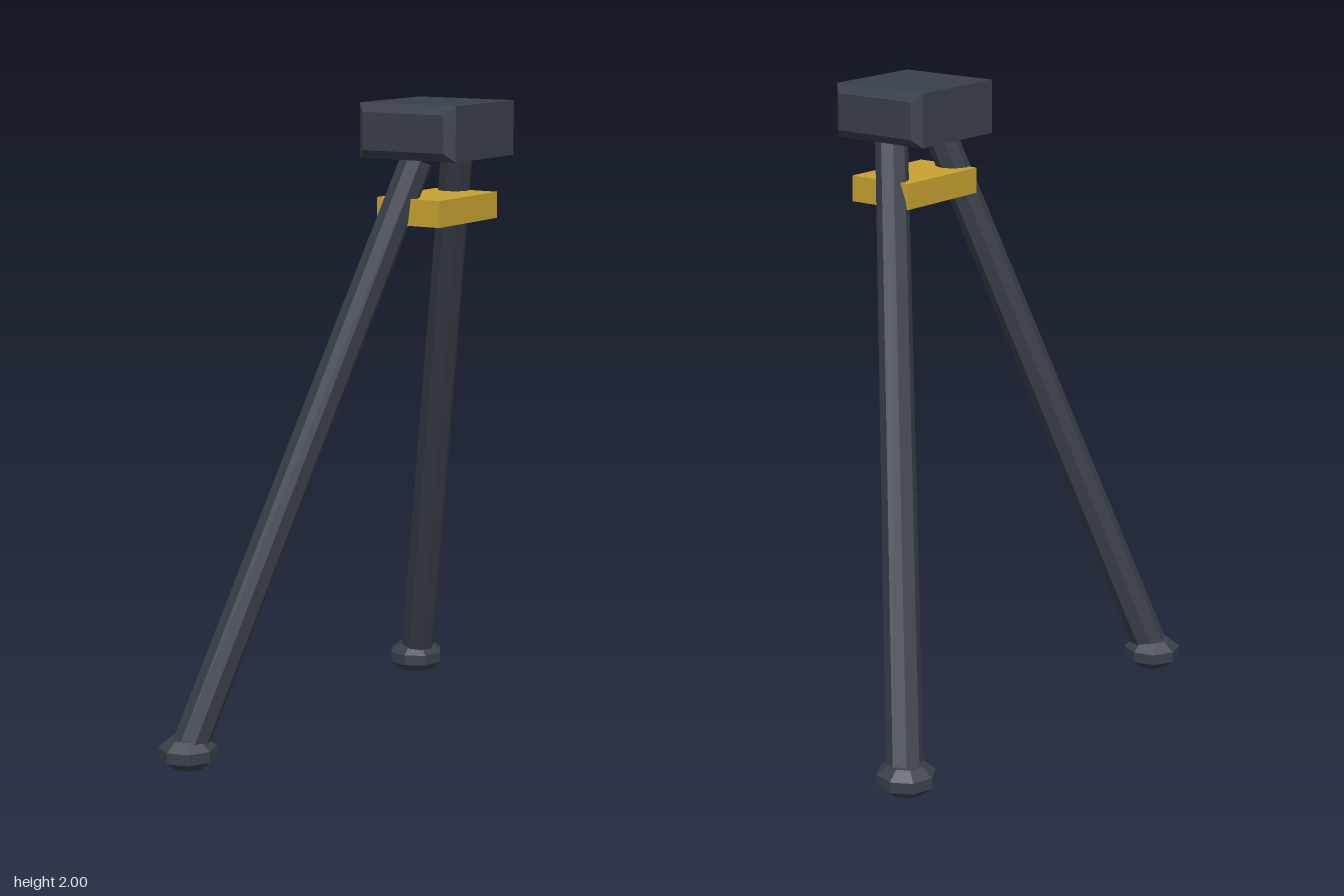
import * as THREE from 'three';

export function createModel() {
  const model = new THREE.Group();
  model.name = 'bipod';

  const darkMetal = new THREE.MeshStandardMaterial({ color: 0x3a404a });
  darkMetal.name = 'dark metal';
  const brass = new THREE.MeshStandardMaterial({ color: 0xc9a230 });
  brass.name = 'brass';

  const add = (name, geometry, material) => {
    // unshared corners give crisp facets
    const flat = geometry.index ? geometry.toNonIndexed() : geometry;
    flat.computeVertexNormals();
    const mesh = new THREE.Mesh(flat, material);
    mesh.name = name;
    model.add(mesh);
    return mesh;
  };

  // mounting head: a block with bevelled front and back ends
  const bevel = 0.026;
  const w = 0.335 / 2 - bevel, h = 0.165 / 2 - bevel, depth = 0.39 - 2 * bevel;
  const outline = new THREE.Shape([
    new THREE.Vector2(-w, -h), new THREE.Vector2(w, -h),
    new THREE.Vector2(w, h), new THREE.Vector2(-w, h),
  ]);
  const headGeometry = new THREE.ExtrudeGeometry(outline, {
    depth, bevelEnabled: true, bevelSize: bevel, bevelThickness: bevel, bevelSegments: 1,
  }).translate(0, 0, -depth / 2);
  add('mountingHead', headGeometry, darkMetal).position.set(0.198, 1.9175, 0);

  // cross brace between the legs
  add('crossBrace', new THREE.BoxGeometry(0.22, 0.08, 0.336), brass).position.set(0.2, 1.68, 0);

  // splayed legs with rounded feet
  const up = new THREE.Vector3(0, 1, 0);
  for (const [side, s] of [['front', 1], ['back', -1]]) {
    const top = new THREE.Vector3(0.197, 1.832, s * 0.115);
    const bottom = new THREE.Vector3(-0.28, 0.055, s * 0.655);
    const axis = top.clone().sub(bottom);
    const leg = add(side + 'Leg', new THREE.CylinderGeometry(0.05, 0.056, axis.length(), 8), darkMetal);
    leg.position.copy(top).add(bottom).multiplyScalar(0.5);
    leg.quaternion.setFromUnitVectors(up, axis.normalize());

    const foot = add(side + 'Foot', new THREE.SphereGeometry(0.095, 8, 5).scale(1, 0.58, 1), darkMetal);
    foot.position.set(-0.281, 0.055, s * 0.65);
    foot.rotation.y = -s * 0.12;
  }

  return model;
}
